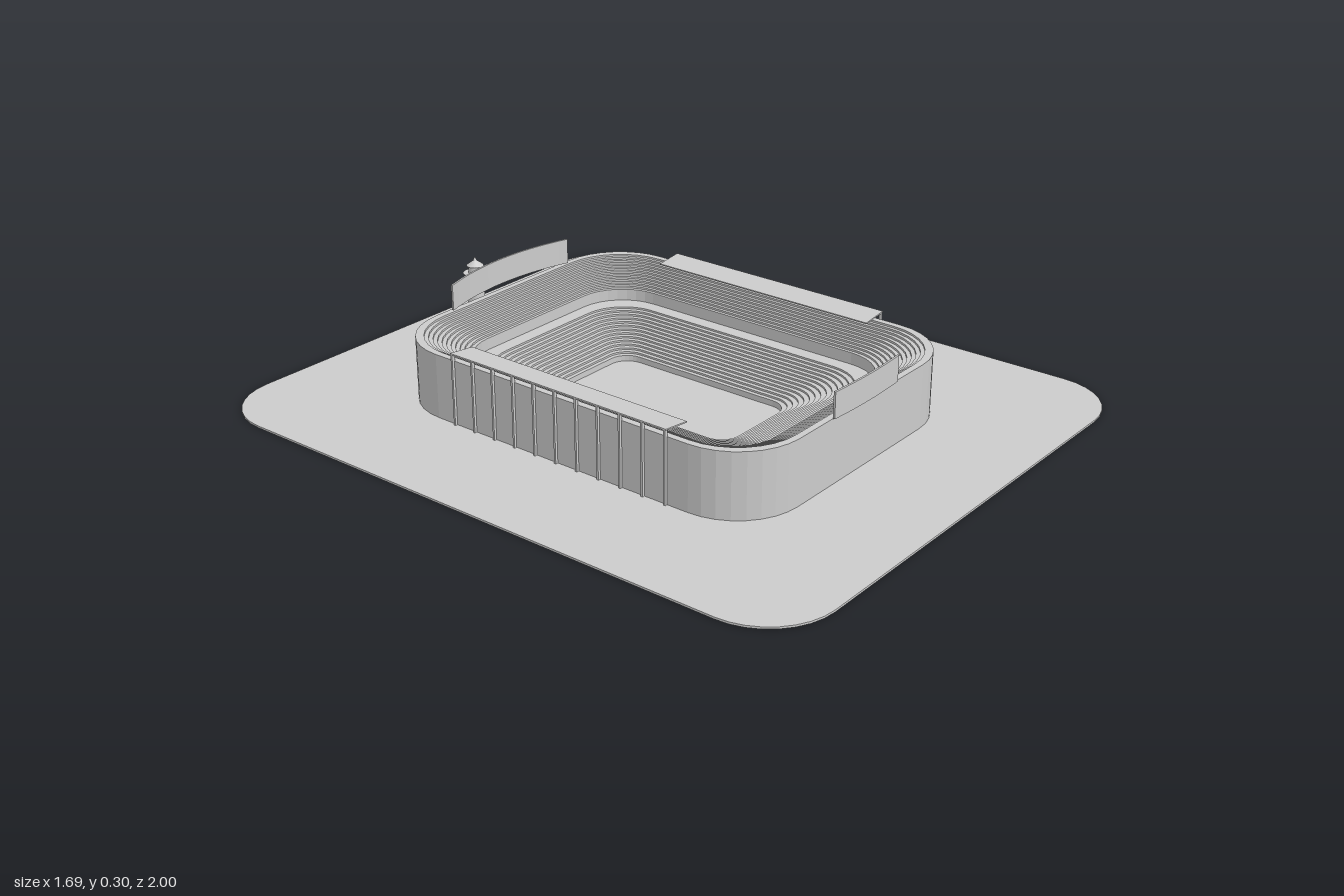
import * as THREE from 'three';

const stone = new THREE.MeshStandardMaterial({ color: 0xcccccc });
stone.name = 'pale grey';
stone.flatShading = true;
const smooth = new THREE.MeshStandardMaterial({ color: 0xcccccc });
smooth.name = 'pale grey smooth';

// Rounded rectangle ring: half sizes hx, hz, corner radius r, height y
function ring([hx, hz, r, y], seg = 8) {
  const pts = [];
  const signs = [[1, 1], [-1, 1], [-1, -1], [1, -1]];
  signs.forEach(([sx, sz], k) => {
    for (let i = 0; i <= seg; i++) {
      const a = (k + i / seg) * Math.PI / 2;
      pts.push([sx * (hx - r) + r * Math.cos(a), y, sz * (hz - r) + r * Math.sin(a)]);
    }
  });
  return pts;
}

// Skin a series of rings, given from the outside bottom up and inwards
function loft(sections) {
  const rings = sections.map((s) => ring(s));
  const pos = [];
  for (let i = 0; i + 1 < rings.length; i++) {
    const a = rings[i], b = rings[i + 1], n = a.length;
    for (let j = 0; j < n; j++) {
      const k = (j + 1) % n;
      pos.push(...a[j], ...b[j], ...a[k], ...a[k], ...b[j], ...b[k]);
    }
  }
  const g = new THREE.BufferGeometry();
  g.setAttribute('position', new THREE.Float32BufferAttribute(pos, 3));
  g.computeVertexNormals();
  return g;
}

// Terraced seating between two sections, stepping down and inwards
function terrace(from, to, rows) {
  const out = [];
  const at = (t) => from.map((v, i) => v + (to[i] - v) * t);
  for (let i = 0; i < rows; i++) {
    const outer = at(i / rows), inner = at((i + 1) / rows);
    out.push(outer, [inner[0], inner[1], inner[2], outer[3]]);
  }
  out.push(to);
  return out;
}

// Upright board bowed along x, following z from its ends to its middle
function bowedBoard(half, zEnd, zMid, thick, y0, y1) {
  const shape = new THREE.Shape();
  const N = 16, front = [], back = [];
  for (let i = 0; i <= N; i++) {
    const x = half * (2 * i / N - 1);
    const y = -(zMid + (zEnd - zMid) * (x / half) ** 2);
    front.push(new THREE.Vector2(x, y - thick / 2));
    back.unshift(new THREE.Vector2(x, y + thick / 2));
  }
  shape.setFromPoints([...front, ...back]);
  const g = new THREE.ExtrudeGeometry(shape, { depth: y1 - y0, bevelEnabled: false });
  return g.rotateX(-Math.PI / 2).translate(0, y0, 0);
}

export function createModel() {
  const model = new THREE.Group();
  const add = (name, geo, mat = stone, parent = model) => {
    const m = new THREE.Mesh(geo, mat);
    m.name = name;
    parent.add(m);
    return m;
  };

  // Ground slab
  add('ground', loft([
    [0, 0, 0, 0], [0.845, 1, 0.2, 0], [0.845, 1, 0.2, 0.006], [0, 0, 0, 0.006],
  ]));

  // Bowl: outer wall, rim, upper tier, walkway, lower tier
  add('outerWall', loft([
    [0.492, 0.645, 0.2, 0.006], [0.492, 0.645, 0.2, 0.2], [0.482, 0.635, 0.195, 0.2],
  ]));
  add('upperStand', loft([
    ...terrace([0.482, 0.635, 0.195, 0.2], [0.362, 0.517, 0.15, 0.13], 12),
    [0.362, 0.517, 0.15, 0.1],
  ]));
  add('lowerStand', loft([
    [0.362, 0.517, 0.15, 0.1], [0.33, 0.485, 0.14, 0.1],
    ...terrace([0.33, 0.485, 0.14, 0.1], [0.151, 0.305, 0.06, 0.02], 14),
    [0.151, 0.305, 0.06, 0.008],
  ]));
  add('field', loft([[0.151, 0.305, 0.06, 0.008], [0, 0, 0, 0.008]]));

  // Side roofs with the fins that carry them
  for (const s of [1, -1]) {
    const side = new THREE.Group();
    side.name = s > 0 ? 'leftRoof' : 'rightRoof';
    const roof = add('roofPanel', new THREE.BoxGeometry(0.086, 0.004, 0.76), stone, side);
    roof.position.set(s * 0.457, 0.217, 0);
    roof.rotation.z = s * 0.11;
    for (let i = 0; i <= 10; i++) {
      const fin = add('roofFin', new THREE.BoxGeometry(0.01, 0.214, 0.006), stone, side);
      fin.position.set(s * 0.495, 0.113, -0.375 + i * 0.075);
    }
    model.add(side);
  }

  // Scoreboards at both ends
  add('frontScoreboard', bowedBoard(0.15, 0.651, 0.657, 0.006, 0.203, 0.28));
  add('backScoreboard', bowedBoard(0.25, -0.618, -0.658, 0.006, 0.21, 0.288));

  // Lighthouse: plinth, tapering shaft, gallery, lantern, finial
  const lighthouse = new THREE.Group();
  lighthouse.name = 'lighthouse';
  lighthouse.position.set(-0.065, 0, -0.705);
  const cyl = (name, rTop, rBottom, y0, y1) =>
    add(name, new THREE.CylinderGeometry(rTop, rBottom, y1 - y0, 20).translate(0, (y0 + y1) / 2, 0), smooth, lighthouse);
  cyl('plinth', 0.041, 0.041, 0.006, 0.018);
  cyl('shaft', 0.023, 0.034, 0.018, 0.24);
  cyl('gallery', 0.037, 0.03, 0.238, 0.252);
  cyl('lantern', 0.021, 0.021, 0.252, 0.275);
  cyl('lanternRoof', 0.006, 0.026, 0.275, 0.29);
  cyl('finial', 0.002, 0.006, 0.29, 0.3);
  model.add(lighthouse);

  // Arched footbridge from the lighthouse to a short post
  const curve = new THREE.QuadraticBezierCurve(
    new THREE.Vector2(-0.06, 0.045), new THREE.Vector2(0.1, 0.16), new THREE.Vector2(0.255, 0.045));
  const top = curve.getPoints(16);
  const under = top.map((p) => new THREE.Vector2(p.x, p.y - 0.01)).reverse();
  const bridge = new THREE.ExtrudeGeometry(new THREE.Shape([...top, ...under]), { depth: 0.026, bevelEnabled: false });
  add('bridge', bridge.translate(0, 0, -0.718));
  add('bridgePost', new THREE.CylinderGeometry(0.013, 0.013, 0.04, 16).translate(0.242, 0.026, -0.705), smooth);

  return model;
}
